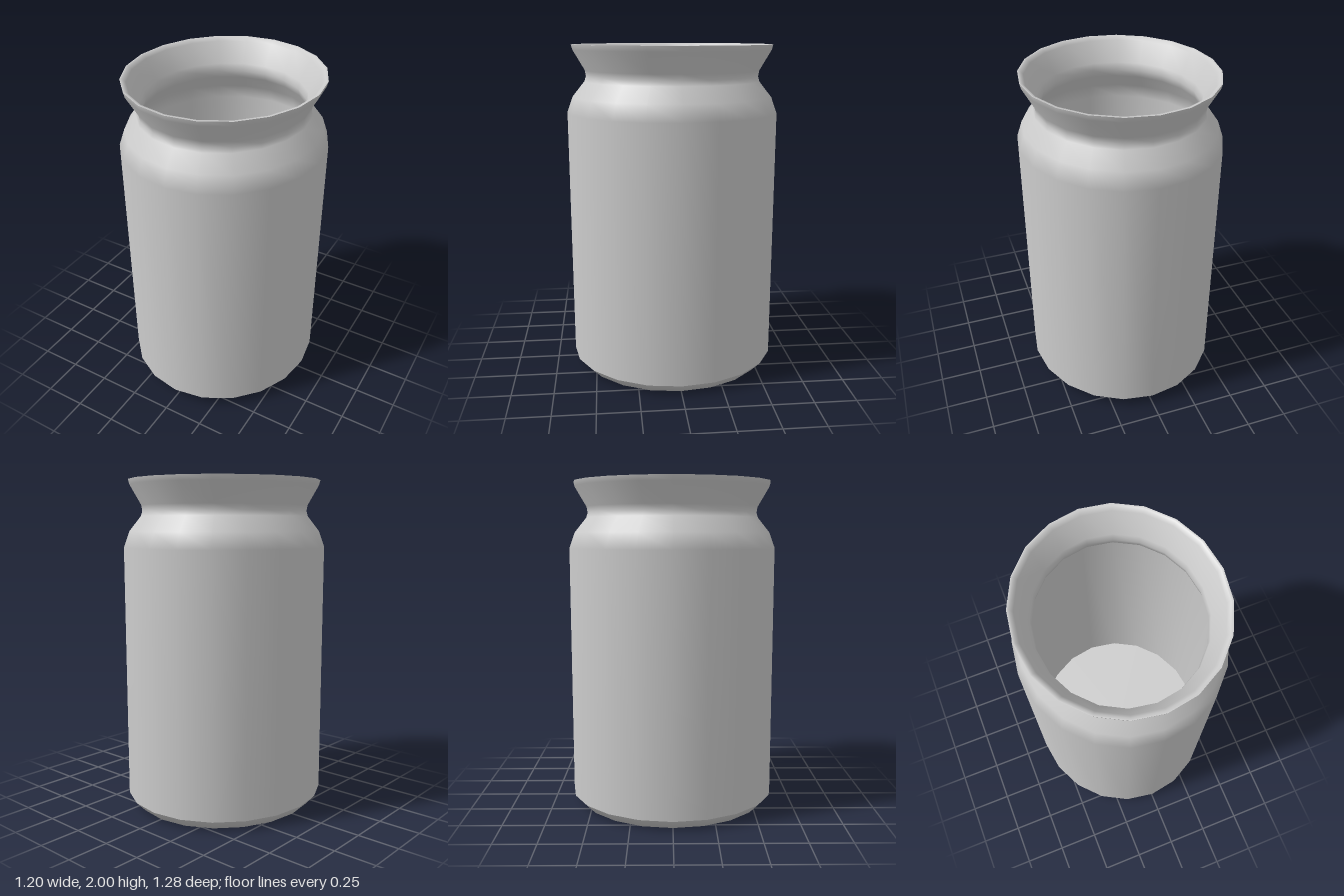
import * as THREE from 'three';

const SIDES = 20;
const X_SQUASH = 0.937; // the jar is slightly oval: narrower in x than in z

export function createModel() {
  const group = new THREE.Group();
  group.name = 'jar';
  const material = new THREE.MeshStandardMaterial({ color: 0xcccccc });

  // Turn a profile of [radius, height] points into an oval, smooth part
  function turned(name, profile) {
    const points = profile.map(([r, y]) => new THREE.Vector2(r, y));
    const geometry = new THREE.LatheGeometry(points, SIDES);
    geometry.scale(X_SQUASH, 1, 1);
    const mesh = new THREE.Mesh(geometry, material);
    mesh.name = name;
    group.add(mesh);
  }

  // Underside with its bevelled foot
  turned('base', [[0, 0], [0.58, 0], [0.638, 0.06]]);

  // Straight wall, a hard edge above the foot
  turned('outerWall', [
    [0.638, 0.06], [0.638, 1.6], [0.603, 1.695], [0.53, 1.785],
    [0.521, 1.815], [0.527, 1.85], [0.597, 1.97], [0.605, 2],
  ]);

  // Lip and hollow inside, following the outer wall down to the floor
  turned('innerWall', [
    [0.605, 2], [0.59, 2], [0.57, 1.98], [0.5, 1.86], [0.491, 1.815],
    [0.503, 1.77], [0.575, 1.68], [0.607, 1.59], [0.607, 0.06],
  ]);

  // Flat inner floor
  turned('floor', [[0.607, 0.06], [0, 0.06]]);

  return group;
}
